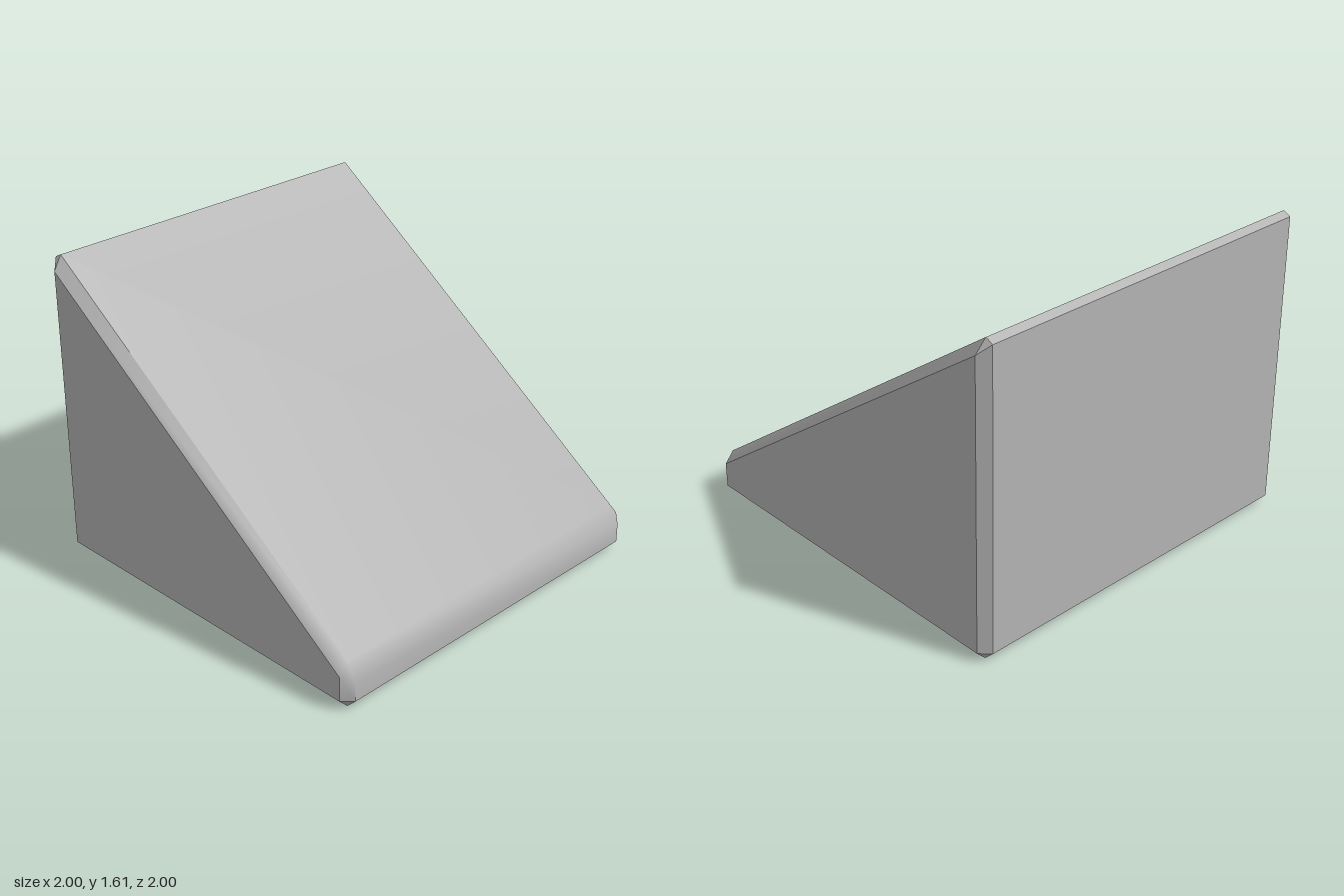
import * as THREE from 'three';

const grey = new THREE.MeshStandardMaterial({ color: 0xb4b4b4 });
grey.name = 'light grey';

// Collects quads given as corner points, skipping collapsed triangles
function quad(out, a, b, c, d) {
  for (const [p, q, r] of [[a, b, c], [a, c, d]]) {
    if (new THREE.Triangle(p, q, r).getArea() > 1e-6) out.push(p, q, r);
  }
}

// Flat-shaded mesh from a list of triangle corners
function makeMesh(name, points) {
  const geo = new THREE.BufferGeometry().setFromPoints(points);
  geo.computeVertexNormals();
  const mesh = new THREE.Mesh(geo, grey);
  mesh.name = name;
  return mesh;
}

// Blends the normals of all faces that meet at the rounded low edge
function smoothLowEdge(geo) {
  const pos = geo.attributes.position, nor = geo.attributes.normal;
  const sums = new Map(), keys = [];
  const n = new THREE.Vector3();
  for (let i = 0; i < pos.count; i++) {
    const low = pos.getX(i) > 0.9 && pos.getY(i) > 0.1;
    keys[i] = low ? [pos.getX(i), pos.getY(i), pos.getZ(i)].map(v => v.toFixed(3)).join() : null;
    if (!low) continue;
    if (!sums.has(keys[i])) sums.set(keys[i], new THREE.Vector3());
    sums.get(keys[i]).add(n.fromBufferAttribute(nor, i));
  }
  for (let i = 0; i < pos.count; i++) {
    if (!keys[i]) continue;
    n.copy(sums.get(keys[i])).normalize();
    nor.setXYZ(i, n.x, n.y, n.z);
  }
}

export function createModel() {
  const group = new THREE.Group();
  group.name = 'slopedBlock';
  const v = (x, y, z) => new THREE.Vector3(x, y, z);

  // Wedge profile, and the inset profile of the chamfered ends
  const full = [[-0.95, 0], [0.95, 0], [1, 0.05], [1, 0.15], [0.95, 0.24], [-0.96, 1.61], [-1, 1.59], [-1, 0.05]];
  const end = [[-0.95, 0.05], [0.95, 0.05], [0.95, 0.18], [-0.95, 1.54]];
  const inset = [0, 1, 1, 2, 2, 3, 3, 0].map(i => end[i]);
  const rings = [[inset, -1], [full, -0.95], [full, 0.95], [inset, 1]]
    .map(([profile, z]) => profile.map(([x, y]) => v(x, y, z)));

  // Outer skin: slope, back, low edge and chamfers, open underneath
  const skin = [];
  for (let k = 0; k < 3; k++) {
    for (let i = 0; i < 8; i++) {
      if (k === 1 && i === 0) continue;
      const j = (i + 1) % 8;
      quad(skin, rings[k][i], rings[k][j], rings[k + 1][j], rings[k + 1][i]);
    }
  }
  const shell = makeMesh('outerShell', skin);
  smoothLowEdge(shell.geometry);
  group.add(shell);

  // Flat side walls
  for (const s of [1, -1]) {
    const c = end.map(([x, y]) => v(x, y, s));
    if (s < 0) c.reverse();
    const wall = [];
    quad(wall, ...c);
    group.add(makeMesh(s > 0 ? 'frontWall' : 'backWall', wall));
  }

  // Bottom rim and the cavity with its sloping ceiling
  const corners = [[-1, -1], [1, -1], [1, 1], [-1, 1]];
  const h = 0.68;
  const outer = corners.map(([x, z]) => v(x * 0.95, 0, z * 0.95));
  const hole = corners.map(([x, z]) => v(x * h, 0, z * h));
  const top = corners.map(([x, z]) => v(x * h, x > 0 ? 0.12 : 1.095, z * h));
  const rim = [], cavity = [];
  for (let i = 0; i < 4; i++) {
    const j = (i + 1) % 4;
    quad(rim, outer[i], outer[j], hole[j], hole[i]);
    quad(cavity, hole[i], hole[j], top[j], top[i]);
  }
  quad(cavity, ...top);
  group.add(makeMesh('bottomRim', rim), makeMesh('cavity', cavity));

  return group;
}
